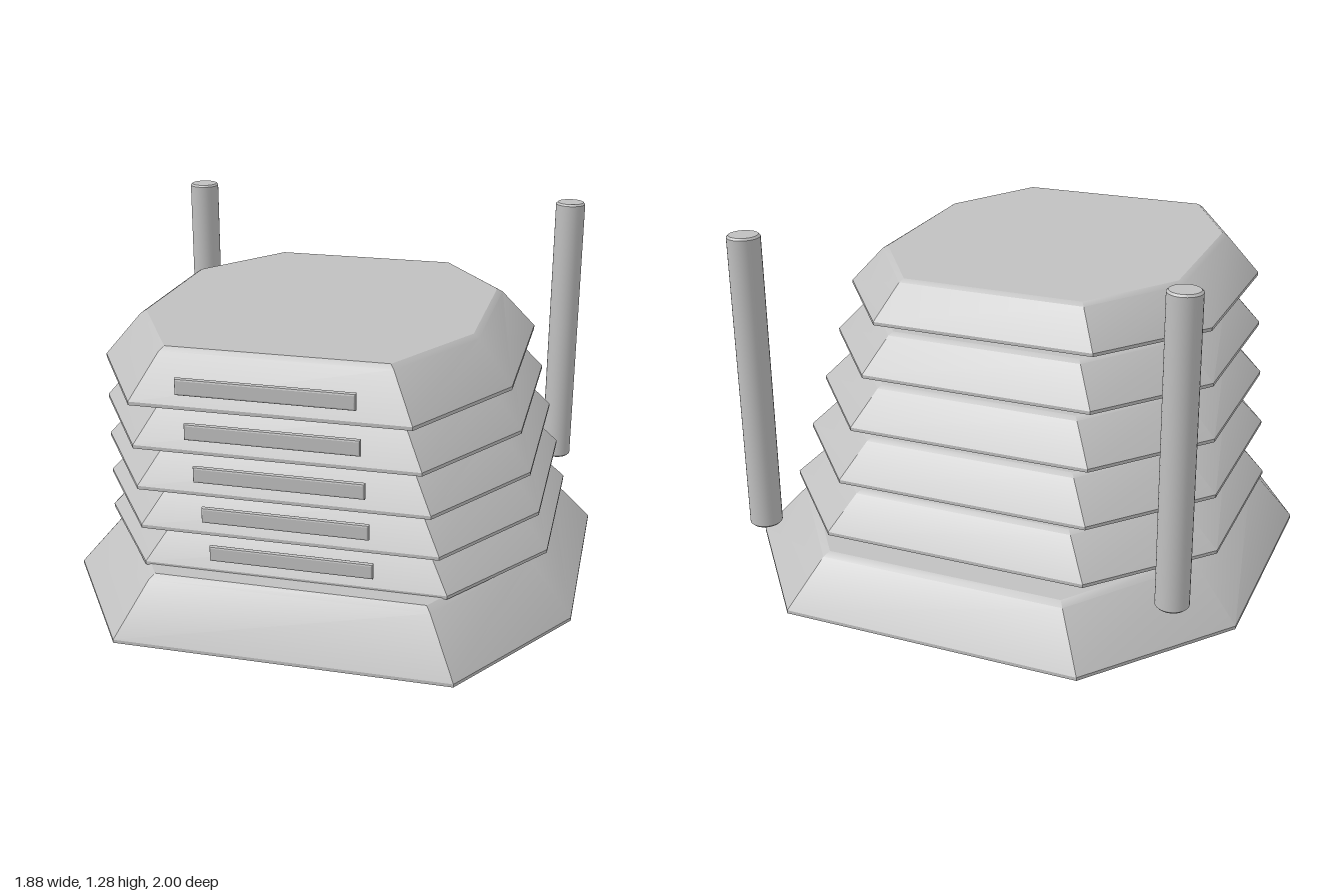
import * as THREE from 'three';
import { toCreasedNormals } from 'three/addons/utils/BufferGeometryUtils.js';

// Octagon outline mirrored in x: four [x, z] points from front to back on the left side
function octagon(half) {
  return [...half, ...half.slice().reverse().map(([x, z]) => [-x, z])];
}

// Closed tapered octagonal slab with a thin rim, a softened upper edge and a top dipping to the back
function slabGeometry(bottom, top, y0, height) {
  const dip = [0, 0.003, 0.017, 0.02];
  const drop = (i) => dip[i < 4 ? i : 7 - i];
  const b = octagon(bottom), t = octagon(top);
  const cz = (top[0][1] + top[3][1]) / 2;
  const rim = 0.012;
  const rings = [
    b.map(([x, z]) => [x, y0, z]),
    b.map(([x, z]) => [x, y0 + rim, z]),
    t.map(([x, z], i) => {
      const k = 0.92;
      const y = rim + (height - drop(i) - rim) * k;
      return [b[i][0] + (x - b[i][0]) * k, y0 + y, b[i][1] + (z - b[i][1]) * k];
    }),
    t.map(([x, z], i) => [x * 0.985, y0 + height - drop(i), cz + (z - cz) * 0.985]),
  ];
  const pos = rings.flat(2), index = [];
  const quad = (p, q, r, s) => index.push(p, q, r, p, r, s);
  for (let r = 0; r < 3; r++) {
    for (let i = 0; i < 8; i++) {
      const j = (i + 1) % 8;
      quad(r * 8 + i, r * 8 + j, r * 8 + 8 + j, r * 8 + 8 + i);
    }
  }
  for (let i = 0; i < 3; i++) {
    quad(24 + i, 25 + i, 30 - i, 31 - i); // top strips
    quad(7 - i, 6 - i, i + 1, i); // underside strips
  }
  const geo = new THREE.BufferGeometry();
  geo.setAttribute('position', new THREE.Float32BufferAttribute(pos, 3));
  geo.setIndex(index);
  return toCreasedNormals(geo, 0.5);
}

// Thin bar with chamfered edges
function handleGeometry() {
  const w = 0.283, h = 0.021;
  const shape = new THREE.Shape([
    new THREE.Vector2(-w, -h), new THREE.Vector2(w, -h),
    new THREE.Vector2(w, h), new THREE.Vector2(-w, h),
  ]);
  const geo = new THREE.ExtrudeGeometry(shape, {
    depth: 0.008, bevelEnabled: true, bevelThickness: 0.006, bevelSize: 0.007, bevelSegments: 2,
  });
  geo.translate(0, 0, -0.004);
  return geo;
}

// Round post with slightly chamfered ends
function postGeometry(r, y0, y1) {
  const c = 0.007;
  const profile = [[0, y0], [r - c, y0], [r, y0 + c], [r, y1 - c], [r - c, y1], [0, y1]];
  const geo = new THREE.LatheGeometry(profile.map(([x, y]) => new THREE.Vector2(x, y)), 32);
  return toCreasedNormals(geo, 0.5);
}

export function createModel() {
  const model = new THREE.Group();
  model.name = 'tieredStack';
  const grey = new THREE.MeshStandardMaterial({ color: 0xc0c0c0 });
  grey.name = 'light grey';

  const add = (name, geo, x = 0, y = 0, z = 0) => {
    const mesh = new THREE.Mesh(geo, grey);
    mesh.name = name;
    mesh.position.set(x, y, z);
    model.add(mesh);
  };

  // Wide base
  add('base', slabGeometry(
    [[0.6, 0.89], [0.94, 0.36], [0.94, -0.51], [0.54, -1]],
    [[0.49, 0.775], [0.765, 0.32], [0.765, -0.45], [0.44, -0.88]],
    0, 0.222));

  // Five tiers, each narrower and further forward than the one below, with a front handle
  const handle = handleGeometry();
  for (let i = 0; i < 5; i++) {
    const s = 1 + (4 - i) * 0.044;
    const dz = (4 - i) * -0.067;
    const y = 0.217 + i * 0.1785;
    const place = (pts) => pts.map(([x, z]) => [x * s, z + dz]);
    add('tier' + (i + 1), slabGeometry(
      place([[0.46, 0.966], [0.71, 0.54], [0.71, -0.135], [0.41, -0.525]]),
      place([[0.375, 0.87], [0.58, 0.5], [0.58, -0.1], [0.34, -0.435]]),
      y, 0.172));
    add('handle' + (i + 1), handle, 0, y + 0.088, 0.99 + dz);
  }

  // Two rear posts
  const post = postGeometry(0.058, 0.187, 1.28);
  add('leftPost', post, 0.775, 0, -0.737);
  add('rightPost', post, -0.775, 0, -0.737);

  return model;
}
